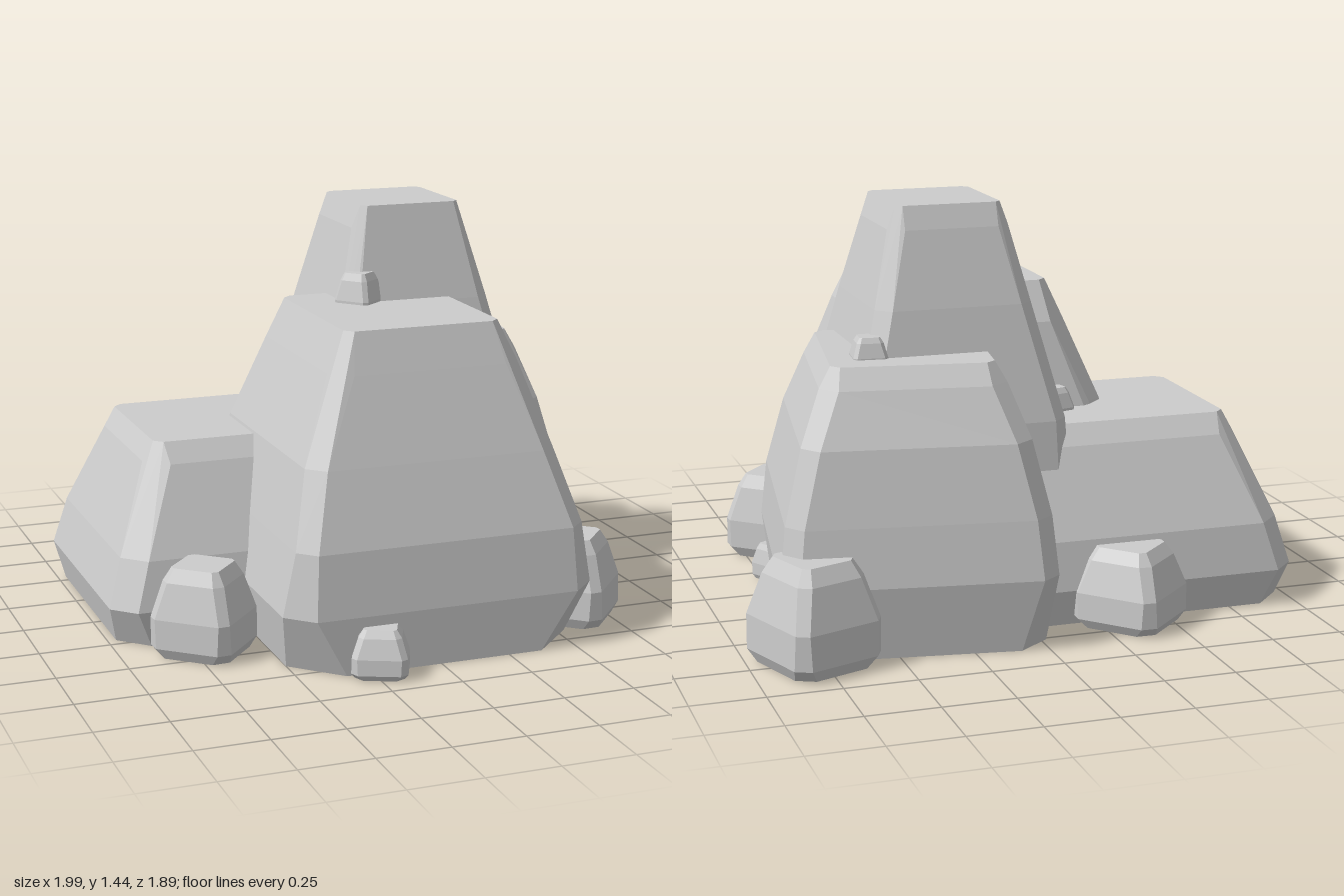
import * as THREE from 'three';
import { ConvexGeometry } from 'three/addons/geometries/ConvexGeometry.js';

const material = new THREE.MeshStandardMaterial({ color: 0xcccccc, flatShading: true });

// Convex rock from stacked rectangles with cut corners: [y, x0, x1, z0, z1, cut]
function rock(name, levels, yaw = 0, x = 0, y = 0, z = 0) {
  const points = [];
  for (const [h, x0, x1, z0, z1, c] of levels) {
    for (const [px, sx] of [[x0, 1], [x1, -1]]) {
      for (const [pz, sz] of [[z0, 1], [z1, -1]]) {
        points.push(new THREE.Vector3(px + sx * c, h, pz));
        points.push(new THREE.Vector3(px, h, pz + sz * c));
      }
    }
  }
  const mesh = new THREE.Mesh(new ConvexGeometry(points), material);
  mesh.name = name;
  mesh.rotation.y = yaw;
  mesh.position.set(x, y, z);
  return mesh;
}

// Small chamfered stone: half sizes w and d, height h
function pebble(name, x, y, z, w, h, d, yaw) {
  const ring = (t, s, c) => [t * h, -w * s, w * s, -d * s, d * s, c * Math.min(w, d)];
  return rock(name, [ring(0, 0.88, 0.3), ring(0.12, 1, 0.25), ring(0.45, 0.98, 0.2),
    ring(0.85, 0.76, 0.2), ring(1, 0.58, 0.12)], yaw, x, y, z);
}

export function createModel() {
  const group = new THREE.Group();
  group.name = 'rockCluster';

  // Large boulders
  group.add(
    rock('frontBoulder', [
      [0, -0.5, 0.53, -0.33, 0.82, 0.16],
      [0.2, -0.535, 0.59, -0.33, 0.825, 0.09],
      [0.42, -0.49, 0.55, -0.3, 0.8, 0.06],
      [0.68, -0.43, 0.47, -0.22, 0.72, 0.06],
      [0.97, -0.31, 0.38, -0.17, 0.62, 0.07],
      [1.11, -0.25, 0.31, -0.1, 0.57, 0.03],
    ]),
    rock('tallBoulder', [
      [0, -0.2, 0.6, -0.55, 0.28, 0.1],
      [0.2, -0.22, 0.64, -0.57, 0.3, 0.07],
      [0.7, -0.18, 0.57, -0.54, 0.2, 0.05],
      [1.1, -0.08, 0.475, -0.46, 0.115, 0.05],
      [1.36, -0.02, 0.41, -0.39, 0.05, 0.05],
      [1.44, 0.01, 0.38, -0.36, 0.03, 0.02],
    ]),
    rock('backBoulder', [
      [0, -0.44, 0.43, -0.47, 0.47, 0.1],
      [0.25, -0.47, 0.46, -0.5, 0.53, 0.06],
      [0.45, -0.45, 0.44, -0.47, 0.5, 0.06],
      [0.7, -0.39, 0.38, -0.42, 0.42, 0.06],
      [0.88, -0.32, 0.31, -0.34, 0.35, 0.06],
      [0.95, -0.28, 0.27, -0.29, 0.32, 0.03],
    ], -0.15, 0.36, 0, -0.33),
    rock('sideBoulder', [
      [0, -0.97, 0.1, -0.64, 0.31, 0.1],
      [0.13, -1, 0.12, -0.675, 0.335, 0.08],
      [0.3, -0.95, 0.1, -0.65, 0.3, 0.08],
      [0.6, -0.83, 0, -0.52, 0.17, 0.08],
      [0.67, -0.79, -0.04, -0.47, 0.12, 0.03],
    ]),
  );

  // Stones on the ground: x, y, z, half width, height, half depth, yaw
  const groundStones = [
    [-0.71, 0, 0.41, 0.15, 0.31, 0.145, -0.72],
    [-0.22, 0, 0.82, 0.095, 0.165, 0.1, -0.42],
    [0.62, 0, 0.52, 0.15, 0.31, 0.15, 0.85],
    [0.78, 0, -0.73, 0.17, 0.36, 0.185, 0.35],
    [-0.36, 0, -0.67, 0.16, 0.28, 0.16, 0.75],
    [0.71, 0, 0.19, 0.06, 0.13, 0.06, 0.55],
  ];
  groundStones.forEach((s, i) => group.add(pebble(`groundStone${i + 1}`, ...s)));

  // Pebbles resting on the boulders
  const perchedPebbles = [
    [-0.02, 1.04, 0.08, 0.07, 0.175, 0.07, 0.7],
    [0.505, 0.9, -0.44, 0.06, 0.12, 0.06, -0.1],
    [-0.22, 0.62, -0.24, 0.065, 0.13, 0.065, 0.3],
    [0.54, 0.57, 0.19, 0.04, 0.12, 0.04, 0.5],
    [-0.41, 0.45, 0.7, 0.035, 0.12, 0.035, 0.6],
  ];
  perchedPebbles.forEach((s, i) => group.add(pebble(`perchedPebble${i + 1}`, ...s)));

  return group;
}
